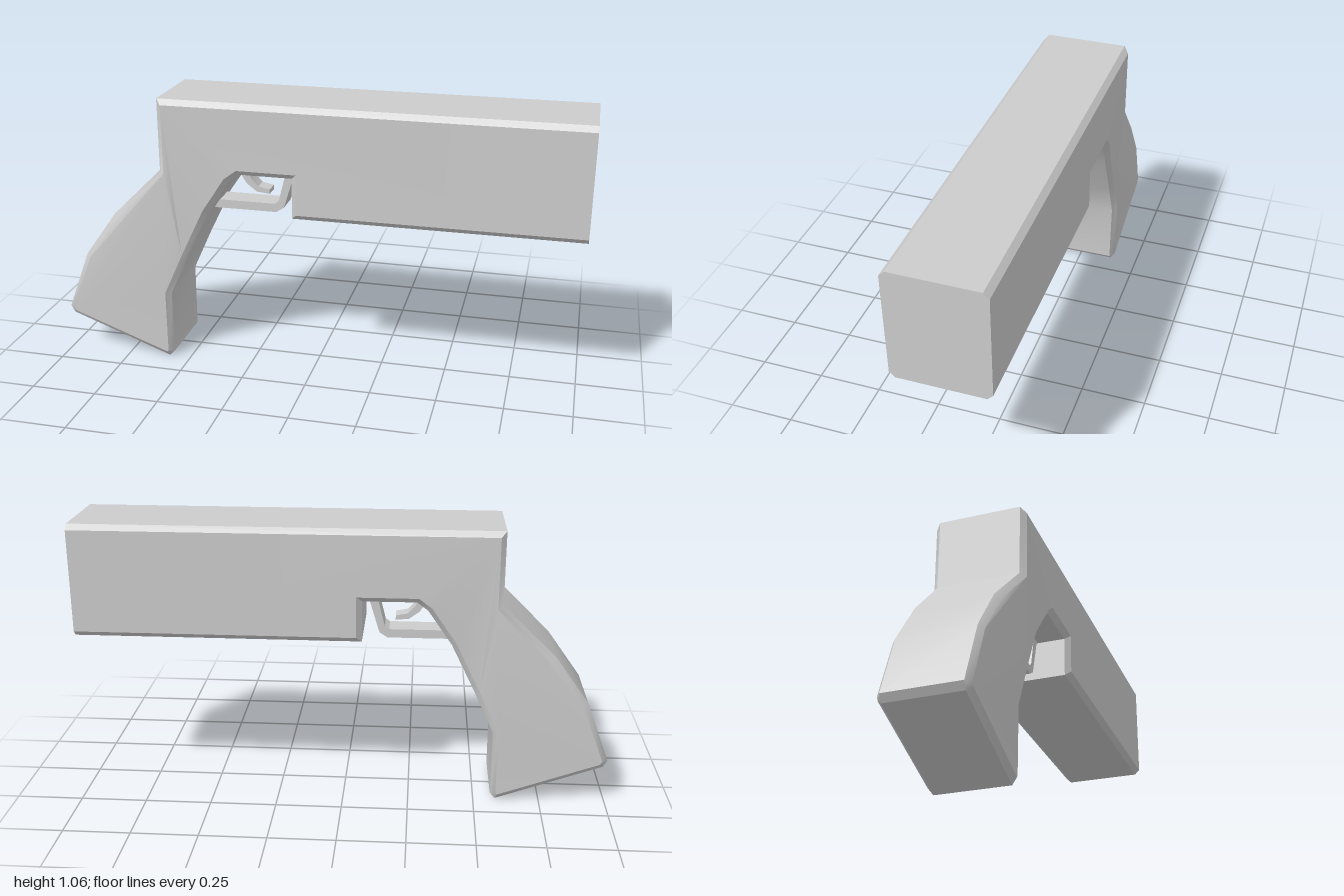
import * as THREE from 'three';
import { toCreasedNormals } from 'three/addons/utils/BufferGeometryUtils.js';

const material = new THREE.MeshStandardMaterial({ color: 0xcccccc });

// Side outline extruded to a given half width, with an optional chamfer kept inside the outline
function slab(points, halfWidth, chamfer = 0) {
  const shape = new THREE.Shape(points.map(([x, y]) => new THREE.Vector2(x, y)));
  const depth = 2 * (halfWidth - chamfer);
  const geometry = new THREE.ExtrudeGeometry(shape, {
    depth,
    bevelEnabled: chamfer > 0,
    bevelThickness: chamfer,
    bevelSize: chamfer,
    bevelOffset: -chamfer,
    bevelSegments: 1,
  });
  return geometry.translate(0, 0, -depth / 2);
}

function part(name, geometry) {
  const mesh = new THREE.Mesh(toCreasedNormals(geometry, 0.6), material);
  mesh.name = name;
  return mesh;
}

// Barrel housing and grip share one continuous outline
function frameGeometry() {
  const geometry = slab([
    [1, 0.635], [1, 1.06], [-0.58, 1.06], [-0.58, 0.785],
    // back of the grip
    [-0.78, 0.59], [-0.91, 0.41], [-1, 0.175],
    // butt
    [-0.985, 0.148], [-0.585, 0], [-0.565, 0.022],
    // front of the grip
    [-0.565, 0.275], [-0.49, 0.44], [-0.4, 0.625], [-0.31, 0.76],
    // trigger recess
    [-0.27, 0.79], [-0.07, 0.79], [-0.07, 0.635],
  ], 0.174, 0.02);

  const p = geometry.attributes.position;
  for (let i = 0; i < p.count; i++) {
    const x = p.getX(i), y = p.getY(i);
    // flat muzzle face
    if (x > 0.9) p.setX(i, 1);
    // the grip is slimmer than the housing
    if (x < -0.3 && y < 0.74) {
      const width = THREE.MathUtils.mapLinear(y, 0, 0.7, 0.153, 0.159);
      p.setZ(i, p.getZ(i) * width / 0.174);
    }
  }
  return geometry;
}

export function createModel() {
  const model = new THREE.Group();
  model.name = 'pistol';

  model.add(part('frame', frameGeometry()));

  model.add(part('triggerGuard', slab([
    [-0.42, 0.615], [-0.16, 0.615], [-0.13, 0.635], [-0.08, 0.8],
    [-0.115, 0.8], [-0.15, 0.66], [-0.167, 0.648], [-0.42, 0.648],
  ], 0.047)));

  model.add(part('trigger', slab([
    [-0.315, 0.8], [-0.305, 0.755], [-0.28, 0.715], [-0.24, 0.685], [-0.19, 0.68],
    [-0.19, 0.697], [-0.235, 0.706], [-0.262, 0.735], [-0.277, 0.765], [-0.28, 0.8],
  ], 0.03)));

  return model;
}
